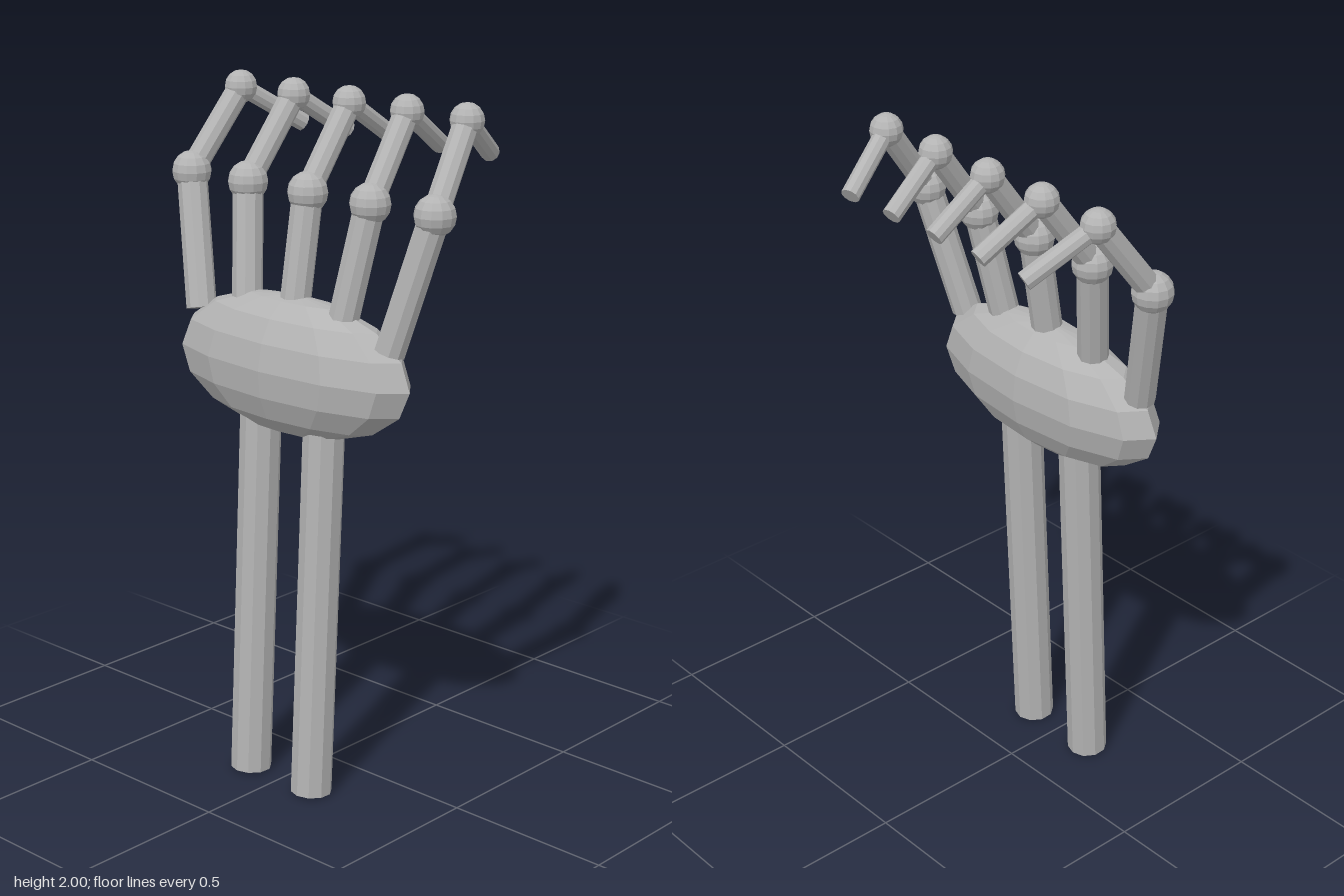
import * as THREE from 'three';

export function createModel() {
  const root = new THREE.Group();
  root.name = 'skeletalHand';
  const bone = new THREE.MeshStandardMaterial({ color: 0xb3b3b3, flatShading: true });
  bone.name = 'bone grey';
  const UP = new THREE.Vector3(0, 1, 0);

  function add(name, geometry, parent = root) {
    const mesh = new THREE.Mesh(geometry, bone);
    mesh.name = name;
    parent.add(mesh);
    return mesh;
  }

  // Straight bone between two points
  function rod(name, from, to, radius, parent) {
    const a = new THREE.Vector3(...from), b = new THREE.Vector3(...to);
    const dir = b.clone().sub(a);
    const mesh = add(name, new THREE.CylinderGeometry(radius, radius, dir.length(), 10), parent);
    mesh.position.copy(a).add(b).multiplyScalar(0.5);
    mesh.quaternion.setFromUnitVectors(UP, dir.normalize());
  }

  function joint(name, at, radius, parent) {
    add(name, new THREE.SphereGeometry(radius, 12, 8), parent).position.set(...at);
  }

  // Palm: faceted ellipsoid leaning with the forearm
  const palm = add('palm', new THREE.SphereGeometry(1, 12, 8).scale(0.43, 0.2, 0.14));
  palm.position.set(0, 1.25, 0.145);
  palm.rotation.x = -0.05;

  // Two forearm bones
  for (const side of [-1, 1]) {
    rod(side > 0 ? 'leftForearmBone' : 'rightForearmBone',
      [side * 0.122, 0.003, 0.205], [side * 0.122, 1.12, 0.148], 0.06);
  }

  // Fingers: x of base, knuckle, upper joint and tip
  const fingers = [
    ['middle', 0, 0, 0, 0],
    ['inner', 0.175, 0.23, 0.212, 0.176],
    ['outer', 0.36, 0.457, 0.422, 0.352],
  ];
  for (const [label, base, knuckle, upper, tip] of fingers) {
    for (const side of base ? [-1, 1] : [1]) {
      const finger = new THREE.Group();
      finger.name = base ? label + (side > 0 ? 'LeftFinger' : 'RightFinger') : 'middleFinger';
      root.add(finger);
      const p0 = [side * base, 1.35, 0.147];
      const p1 = [side * knuckle, 1.727, 0.083];
      const p2 = [side * upper, 1.953, -0.085];
      const p3 = [side * tip, 1.833, -0.272];
      rod('lowerBone', p0, p1, 0.044, finger);
      joint('knuckle', p1, 0.058, finger);
      rod('middleBone', p1, p2, 0.036, finger);
      joint('upperJoint', p2, 0.048, finger);
      rod('tipBone', p2, p3, 0.027, finger);
    }
  }
  return root;
}
